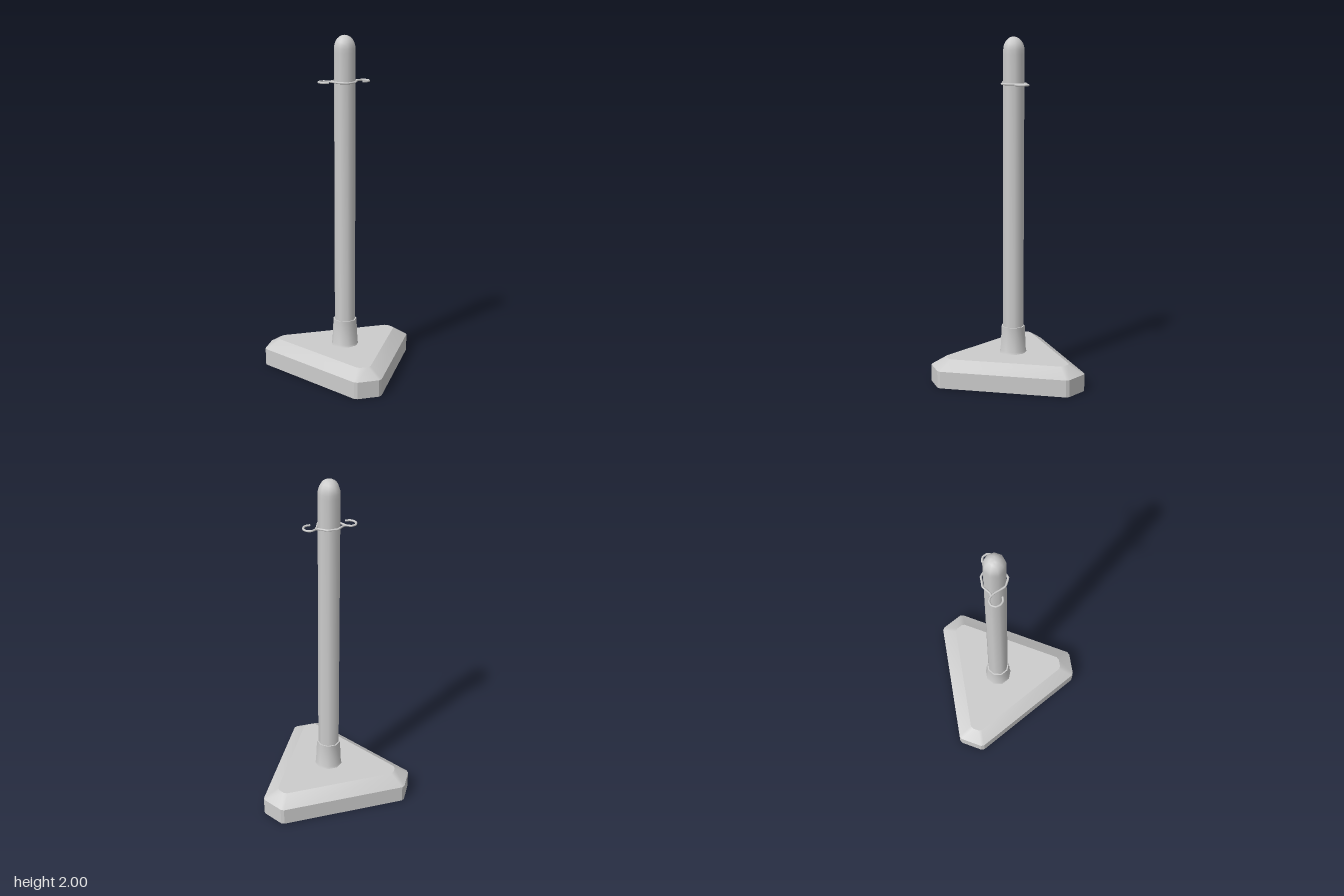
import * as THREE from 'three';
import { toCreasedNormals } from 'three/addons/utils/BufferGeometryUtils.js';

const POLE_Z = -0.088;
const SIDES = 9;
const material = new THREE.MeshStandardMaterial({ color: 0xcccccc });

function addMesh(group, name, geometry) {
  const mesh = new THREE.Mesh(geometry, material);
  mesh.name = name;
  group.add(mesh);
  return mesh;
}

// Right-hand corners mirrored into a closed outline, each corner slightly cut
function outline(half, cut = 0.012) {
  const pts = half.concat(half.map(([x, z]) => [-x, z]).reverse())
    .map(([x, z]) => new THREE.Vector2(x, z));
  const result = [];
  pts.forEach((p, i) => {
    for (const q of [pts.at(i - 1), pts[(i + 1) % pts.length]]) {
      result.push(p.clone().add(q.clone().sub(p).setLength(cut)));
    }
  });
  return result;
}

// Skin a stack of matching outlines and cap both ends
function loft(sections) {
  const n = sections[0].ring.length;
  const pos = [], index = [];
  for (const { ring, y } of sections) for (const p of ring) pos.push(p.x, y, p.y);
  for (let s = 0; s < sections.length - 1; s++) {
    for (let i = 0; i < n; i++) {
      const a = s * n + i, b = s * n + (i + 1) % n;
      index.push(a, a + n, b, b, a + n, b + n);
    }
  }
  const top = (sections.length - 1) * n;
  for (let i = 1; i < n - 1; i++) {
    index.push(0, i, i + 1);
    index.push(top, top + i + 1, top + i);
  }
  const g = new THREE.BufferGeometry();
  g.setAttribute('position', new THREE.Float32BufferAttribute(pos, 3));
  g.setIndex(index);
  return toCreasedNormals(g, 0.5);
}

function lathe(points) {
  return toCreasedNormals(
    new THREE.LatheGeometry(points.map(([r, y]) => new THREE.Vector2(r, y)), SIDES), 0.75);
}

// Round wire in the horizontal plane, symmetric about x = 0, closed at its ends
function addWire(group, name, half) {
  const pts = half.concat(half.slice(0, -1).reverse().map(([x, z]) => [-x, z]))
    .map(([x, z]) => new THREE.Vector3(x, 0, z));
  const curve = new THREE.CatmullRomCurve3(pts, false, 'catmullrom', 0.2);
  const wire = addMesh(group, name, new THREE.TubeGeometry(curve, 90, 0.006, 8));
  wire.position.y = 1.735;
  for (const end of [pts[0], pts.at(-1)]) {
    addMesh(wire, name + 'End', new THREE.SphereGeometry(0.006, 8, 6)).position.copy(end);
  }
}

export function createModel() {
  const model = new THREE.Group();
  model.name = 'barrierPost';

  // Triangular foot with blunted corners and a chamfered top
  const outer = outline([[0.378, -0.397], [0.455, -0.262], [0.076, 0.394]]);
  const inner = outline([[0.336, -0.316], [0.367, -0.262], [0.035, 0.315]]);
  addMesh(model, 'base', loft([
    { ring: outer, y: 0 }, { ring: outer, y: 0.1 }, { ring: inner, y: 0.154 },
  ]));

  // Tapered socket holding the pole
  addMesh(model, 'collar', lathe([
    [0.083, 0.15], [0.077, 0.165], [0.07, 0.312], [0.055, 0.312],
  ])).position.z = POLE_Z;

  // Pole with a rounded top
  const profile = [[0.062, 0.15], [0.062, 1.9]];
  for (let i = 0; i <= 6; i++) {
    const a = (i / 6) * Math.PI / 2;
    profile.push([Math.max(0.062 * Math.cos(a), 0), 1.925 + 0.075 * Math.sin(a)]);
  }
  addMesh(model, 'pole', lathe(profile)).position.z = POLE_Z;

  // Wire clip: front strand curls into a hook on each side, back strand closes the ring
  const clip = new THREE.Group();
  clip.name = 'clip';
  addWire(clip, 'hookWire', [
    [-0.103, -0.063], [-0.125, -0.065], [-0.142, -0.08], [-0.149, -0.105], [-0.137, -0.129],
    [-0.113, -0.137], [-0.09, -0.125], [-0.073, -0.1], [-0.047, -0.042], [0, -0.018],
  ]);
  addWire(clip, 'backWire', [
    [-0.088, -0.123], [-0.07, -0.124], [-0.029, -0.156], [0, -0.156],
  ]);
  model.add(clip);

  return model;
}
